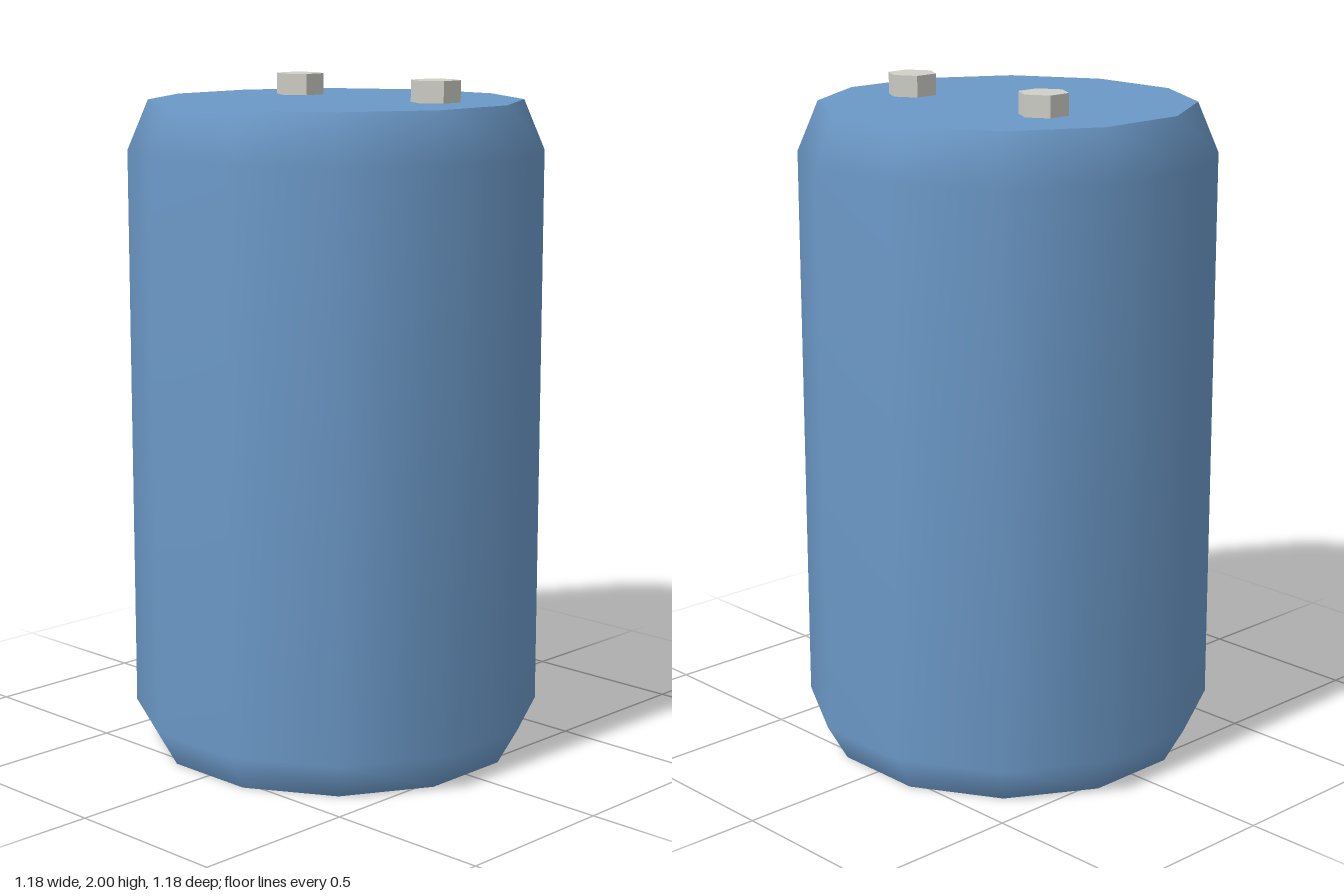
import * as THREE from 'three';

const SIDES = 12;
const TURN = Math.PI / SIDES; // half a side, so flats face the axes
const R_BODY = 0.611, R_END = 0.549, Y_TOP = 1.937;

export function createModel() {
  const model = new THREE.Group();
  model.name = 'canister';

  const blue = new THREE.MeshStandardMaterial({ color: 0x6c99c8 });
  blue.name = 'blue shell';
  const grey = new THREE.MeshStandardMaterial({ color: 0xd0d0c8 });
  grey.name = 'pale grey metal';

  const add = (name, geometry, material, x = 0, y = 0, z = 0) => {
    const mesh = new THREE.Mesh(geometry, material);
    mesh.name = name;
    mesh.position.set(x, y, z);
    model.add(mesh);
    return mesh;
  };

  // Twelve-sided body with chamfered shoulders, shaded smooth
  const profile = [[R_END, 0], [R_BODY, 0.11], [R_BODY, 1.79], [R_END, Y_TOP]]
    .map(([r, y]) => new THREE.Vector2(r, y));
  add('bodyWall', new THREE.LatheGeometry(profile, SIDES, TURN), blue);

  // Flat ends with sharp rims
  const end = new THREE.CircleGeometry(R_END, SIDES, TURN);
  add('topCap', end, blue, 0, Y_TOP).rotation.x = -Math.PI / 2;
  add('bottomCap', end, blue).rotation.x = Math.PI / 2;

  // Two hexagonal terminals on the top, faceted
  const height = 2 - Y_TOP;
  const hex = new THREE.CylinderGeometry(0.073, 0.073, height, 6).toNonIndexed();
  hex.computeVertexNormals();
  add('rightTerminal', hex, grey, -0.256, Y_TOP + height / 2, -0.107);
  add('leftTerminal', hex, grey, 0.293, Y_TOP + height / 2, -0.107);

  return model;
}
